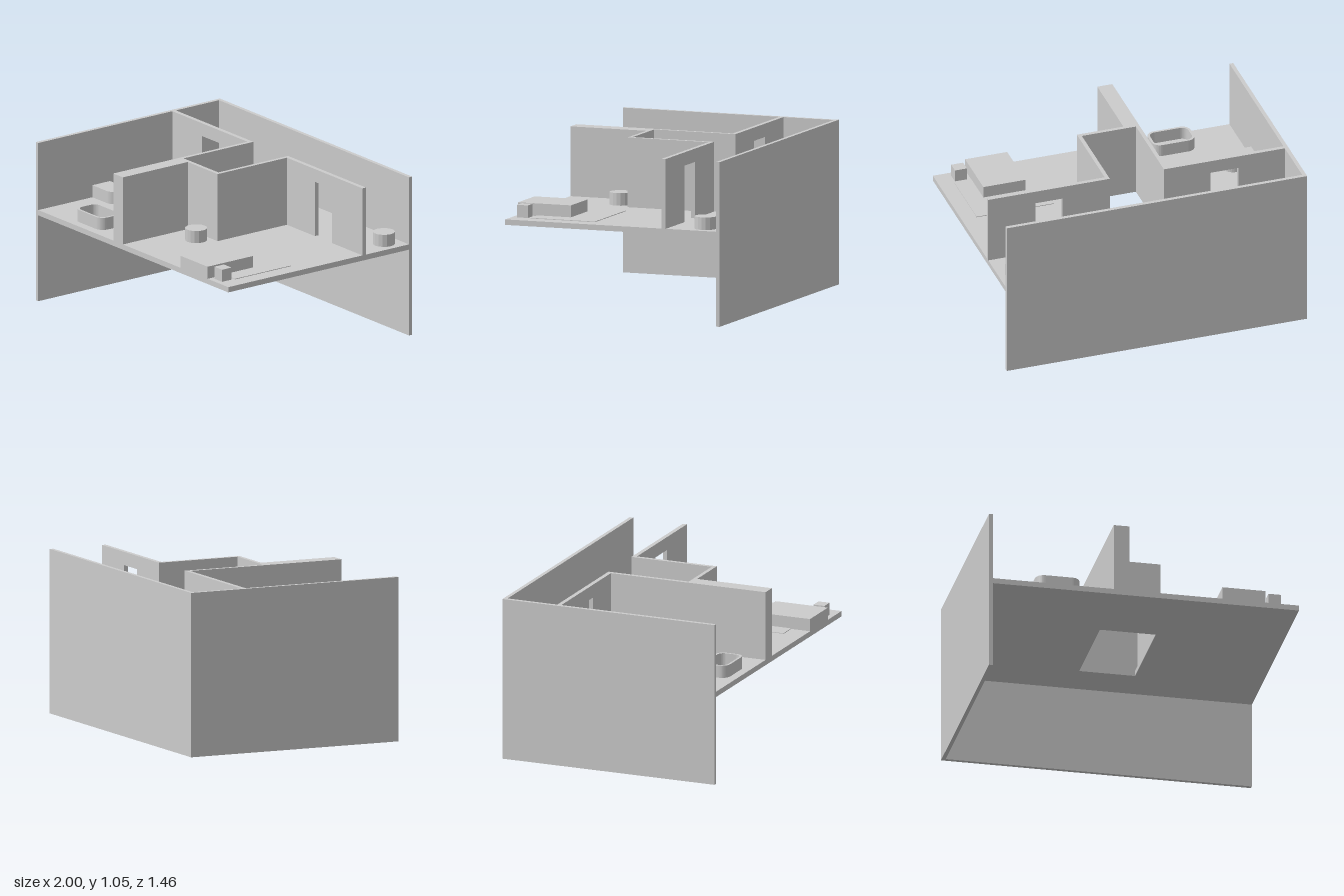
import * as THREE from 'three';

const FLOOR = 0.605, TOP = 1.05;
const material = new THREE.MeshStandardMaterial({ color: 0xcccccc, flatShading: true });

export function createModel() {
  const model = new THREE.Group();
  model.name = 'apartmentFloor';

  const add = (name, geometry) => {
    const mesh = new THREE.Mesh(geometry, material);
    mesh.name = name;
    model.add(mesh);
    return mesh;
  };

  // Box given by its limits on each axis
  const box = (name, x0, x1, y0, y1, z0, z1) =>
    add(name, new THREE.BoxGeometry(x1 - x0, y1 - y0, z1 - z0))
      .position.set((x0 + x1) / 2, (y0 + y1) / 2, (z0 + z1) / 2);

  // Floor plan outline (x, -z) raised from y0 to y1
  const raise = (name, shape, y0, y1, curveSegments = 4) => {
    const geometry = new THREE.ExtrudeGeometry(shape, { depth: y1 - y0, bevelEnabled: false, curveSegments });
    add(name, geometry.rotateX(-Math.PI / 2).translate(0, y0, 0));
  };
  const outline = (points) => points.map(([x, z]) => new THREE.Vector2(x, -z));
  const rect = (x0, x1, z0, z1) => outline([[x0, z1], [x1, z1], [x1, z0], [x0, z0]]);

  // Slab with the stairwell opening
  const slab = new THREE.Shape(rect(-0.975, 1, -0.705, 0.73));
  slab.holes.push(new THREE.Path(rect(-0.17, 0.19, -0.44, 0.19)));
  raise('floorSlab', slab, 0.57, FLOOR);

  // Tall outer walls
  box('backWall', -1, 1, 0, TOP, -0.73, -0.705);
  box('sideWall', -1, -0.975, 0, TOP, -0.705, 0.73);

  // Walls around the stairwell, with the thick divider running to the front
  raise('stairwellWalls', new THREE.Shape(outline([
    [-0.195, 0.73], [-0.095, 0.73], [-0.095, 0.215], [0.215, 0.215], [0.215, -0.335],
    [0.19, -0.335], [0.19, 0.19], [-0.17, 0.19], [-0.17, -0.335], [-0.195, -0.335],
  ])), FLOOR, TOP);

  // Corridor partitions, each with a doorway
  const partition = (name, x0, x1, door0, door1) => {
    const doorTop = 0.965;
    const shape = new THREE.Shape([
      [x0, FLOOR], [door0, FLOOR], [door0, doorTop], [door1, doorTop],
      [door1, FLOOR], [x1, FLOOR], [x1, TOP], [x0, TOP],
    ].map(([x, y]) => new THREE.Vector2(x, y)));
    add(name, new THREE.ExtrudeGeometry(shape, { depth: 0.028, bevelEnabled: false }).translate(0, 0, -0.363));
  };
  partition('rightPartition', -0.975, -0.17, -0.665, -0.48);
  partition('leftPartition', 0.19, 1, 0.505, 0.685);

  // Box furniture
  const LOW = 0.685;
  box('bed', 0.505, 0.785, FLOOR, LOW, 0.37, 0.73);
  box('nightstand', 0.81, 0.89, FLOOR, LOW, 0.62, 0.695);
  box('counter', -0.265, -0.195, FLOOR, 0.765, -0.12, 0.39);
  box('rug', 0.385, 0.9, FLOOR, FLOOR + 0.004, 0.16, 0.6);

  // Round stools
  for (const [name, x, z] of [['roomStool', 0.11, 0.305], ['corridorStoolRight', -0.885, -0.61], ['corridorStoolLeft', 0.89, -0.59]]) {
    add(name, new THREE.CylinderGeometry(0.07, 0.07, LOW - FLOOR, 16))
      .position.set(x, (LOW + FLOOR) / 2, z);
  }

  // Toilet against the side wall, with a half round end
  const toilet = new THREE.Shape();
  toilet.moveTo(-0.975, -0.3);
  toilet.lineTo(-0.83, -0.3);
  toilet.absarc(-0.83, -0.23, 0.07, -Math.PI / 2, Math.PI / 2, false);
  toilet.lineTo(-0.975, -0.16);
  toilet.closePath();
  raise('toilet', toilet, FLOOR, LOW, 8);

  // Hollow bathtub: a rounded rectangle ring
  const rounded = (path, hx, hz, r) => {
    const cx = -0.537, cy = -0.585;
    [[1, -1], [1, 1], [-1, 1], [-1, -1]].forEach(([sx, sy], i) => {
      const start = (i - 1) * Math.PI / 2;
      path.absarc(cx + sx * (hx - r), cy + sy * (hz - r), r, start, start + Math.PI / 2, false);
    });
    path.closePath();
    return path;
  };
  const tub = rounded(new THREE.Shape(), 0.142, 0.089, 0.055);
  tub.holes.push(rounded(new THREE.Path(), 0.127, 0.074, 0.042));
  raise('bathtub', tub, FLOOR, LOW, 4);

  return model;
}
